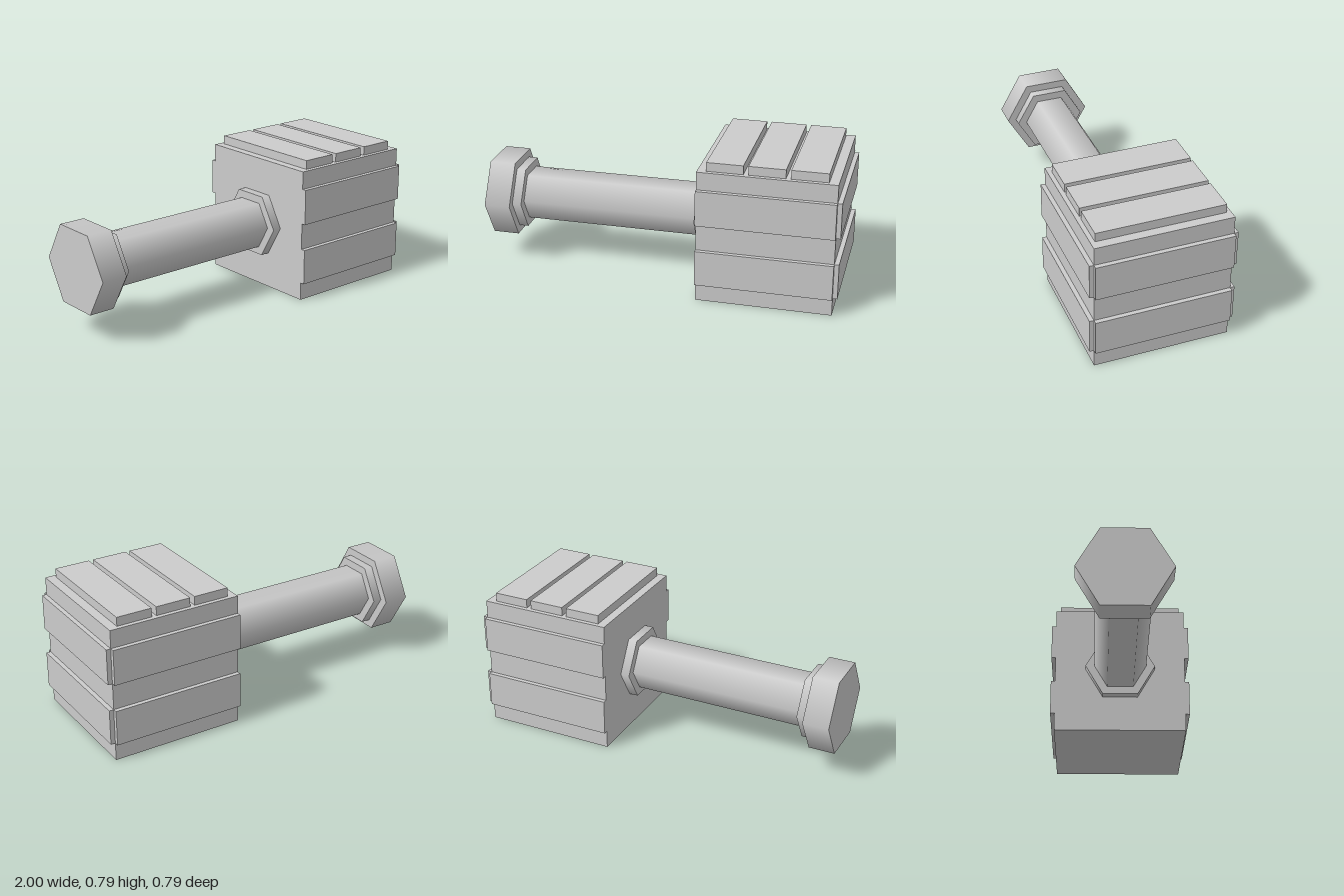
import * as THREE from 'three';

export function createModel() {
  const model = new THREE.Group();
  model.name = 'hammer';
  const material = new THREE.MeshStandardMaterial({ color: 0xcccccc });
  const axisY = 0.373;

  // Box given by its extents on each axis
  function box(name, [x0, x1], [y0, y1], [z0, z1]) {
    const mesh = new THREE.Mesh(new THREE.BoxGeometry(x1 - x0, y1 - y0, z1 - z0), material);
    mesh.position.set((x0 + x1) / 2, (y0 + y1) / 2, (z0 + z1) / 2);
    mesh.name = name;
    model.add(mesh);
  }

  // Six-sided bar lying along x
  function hexBar(name, x0, x1, radius) {
    const geometry = new THREE.CylinderGeometry(radius, radius, x1 - x0, 6);
    geometry.rotateZ(Math.PI / 2);
    const mesh = new THREE.Mesh(geometry, material);
    mesh.position.set((x0 + x1) / 2, axisY, 0);
    mesh.name = name;
    model.add(mesh);
  }

  // Handle with its collars and end cap
  hexBar('pommel', -1, -0.855, 0.247);
  hexBar('pommelCollar', -0.855, -0.804, 0.198);
  hexBar('handle', -0.804, 0.185, 0.148);
  hexBar('headCollar', 0.185, 0.236, 0.198);

  // Head block
  box('head', [0.236, 0.975], [0, 0.742], [-0.371, 0.371]);

  // Two raised bands on the front, back and striking face
  for (const y of [[0.1, 0.298], [0.446, 0.643]]) {
    box('frontBand', [0.236, 0.975], y, [0.371, 0.395]);
    box('backBand', [0.236, 0.975], y, [-0.395, -0.371]);
    box('endBand', [0.975, 1], y, [-0.371, 0.371]);
  }

  // Three planks on top
  for (let i = 0; i < 3; i++) {
    const x = 0.284 + i * 0.222;
    box('topPlank', [x, x + 0.196], [0.742, 0.791], [-0.347, 0.347]);
  }

  return model;
}
